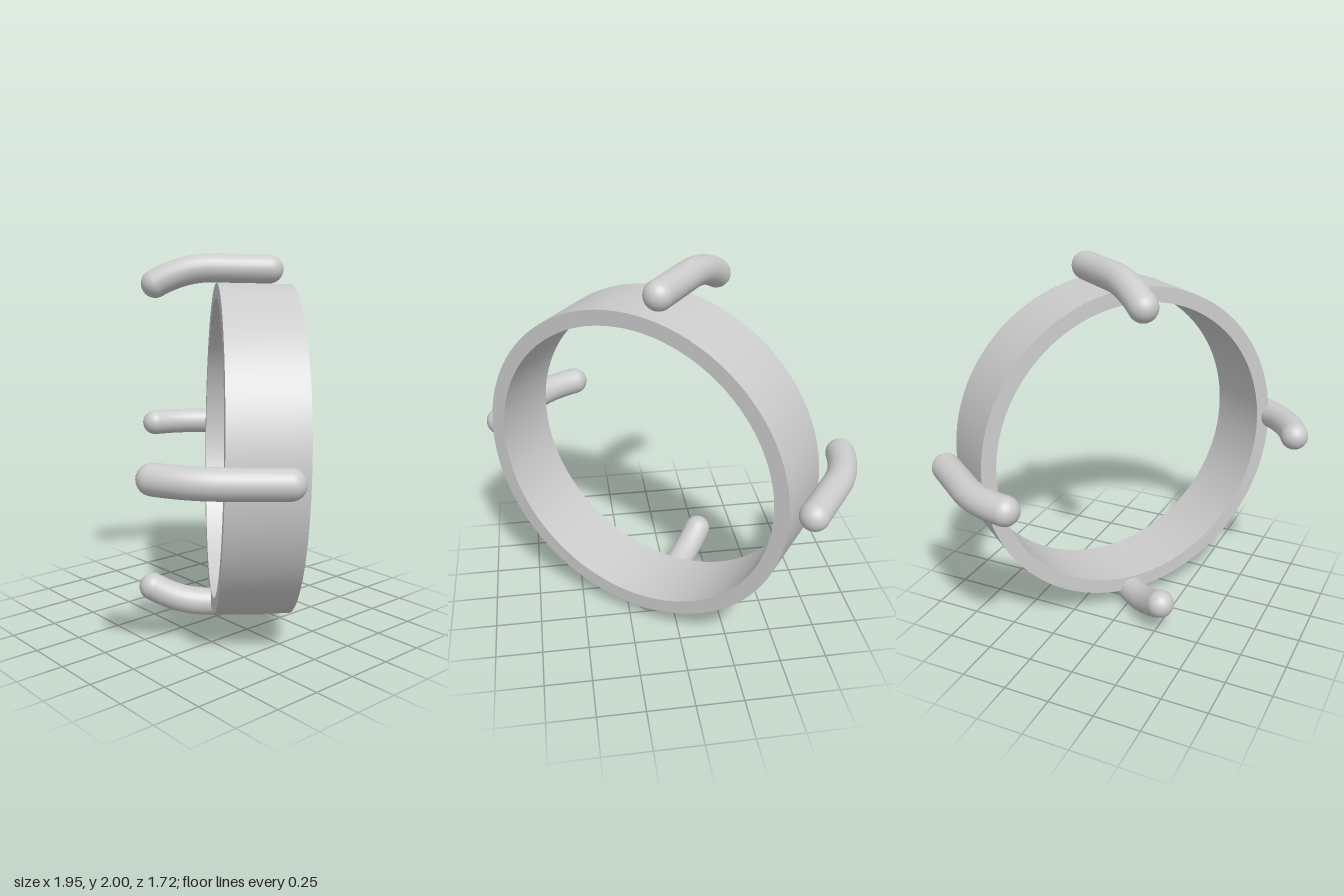
import * as THREE from 'three';
import { toCreasedNormals } from 'three/addons/utils/BufferGeometryUtils.js';

const material = new THREE.MeshStandardMaterial({ color: 0xcccccc });

function addMesh(parent, name, geometry) {
  const mesh = new THREE.Mesh(geometry, material);
  mesh.name = name;
  parent.add(mesh);
  return mesh;
}

// Flat band whose axis is local z
function bandGeometry(outer, inner, depth) {
  const shape = new THREE.Shape().absarc(0, 0, outer, 0, Math.PI * 2);
  shape.holes.push(new THREE.Path().absarc(0, 0, inner, 0, Math.PI * 2, true));
  const geometry = new THREE.ExtrudeGeometry(shape, { depth, bevelEnabled: false, curveSegments: 48 });
  geometry.translate(0, 0, -depth / 2);
  return toCreasedNormals(geometry, 0.6);
}

// Round-ended prong: straight along z, then curving inward (local -y)
function createProng(name) {
  const prong = new THREE.Group();
  prong.name = name;
  const radius = 0.076;
  const back = new THREE.Vector3(0, 0, -0.095);
  const bend = new THREE.Vector3(0, 0, 0.21);
  const tip = new THREE.Vector3(0, -0.088, 0.517);
  const path = new THREE.CurvePath();
  path.add(new THREE.LineCurve3(back, bend));
  path.add(new THREE.QuadraticBezierCurve3(bend, new THREE.Vector3(0, 0, 0.365), tip));
  addMesh(prong, name + 'Shaft', new THREE.TubeGeometry(path, 40, radius, 24));
  for (const [end, point] of [['Back', back], ['Tip', tip]]) {
    addMesh(prong, name + end, new THREE.SphereGeometry(radius, 24, 16)).position.copy(point);
  }
  return prong;
}

export function createModel() {
  const model = new THREE.Group();
  model.name = 'prongedRing';

  // Whole ring is turned to one side and tipped back slightly
  const body = new THREE.Group();
  body.name = 'ringAssembly';
  body.position.set(0.118, 0.968, -0.132);
  body.rotation.set(-0.02, -0.648, 0, 'YXZ');
  model.add(body);

  addMesh(body, 'ring', bandGeometry(0.88, 0.8, 0.39));

  // Four prongs around the band, sitting slightly off its centre
  const prongs = [
    ['topProng', -0.13, 0.955, 0],
    ['rightProng', 0.907, 0.019, -Math.PI / 2],
    ['bottomProng', -0.033, -0.887, Math.PI],
    ['leftProng', -0.969, -0.014, Math.PI / 2],
  ];
  for (const [name, x, y, turn] of prongs) {
    const prong = createProng(name);
    prong.position.set(x, y, 0);
    prong.rotation.z = turn;
    body.add(prong);
  }
  return model;
}
